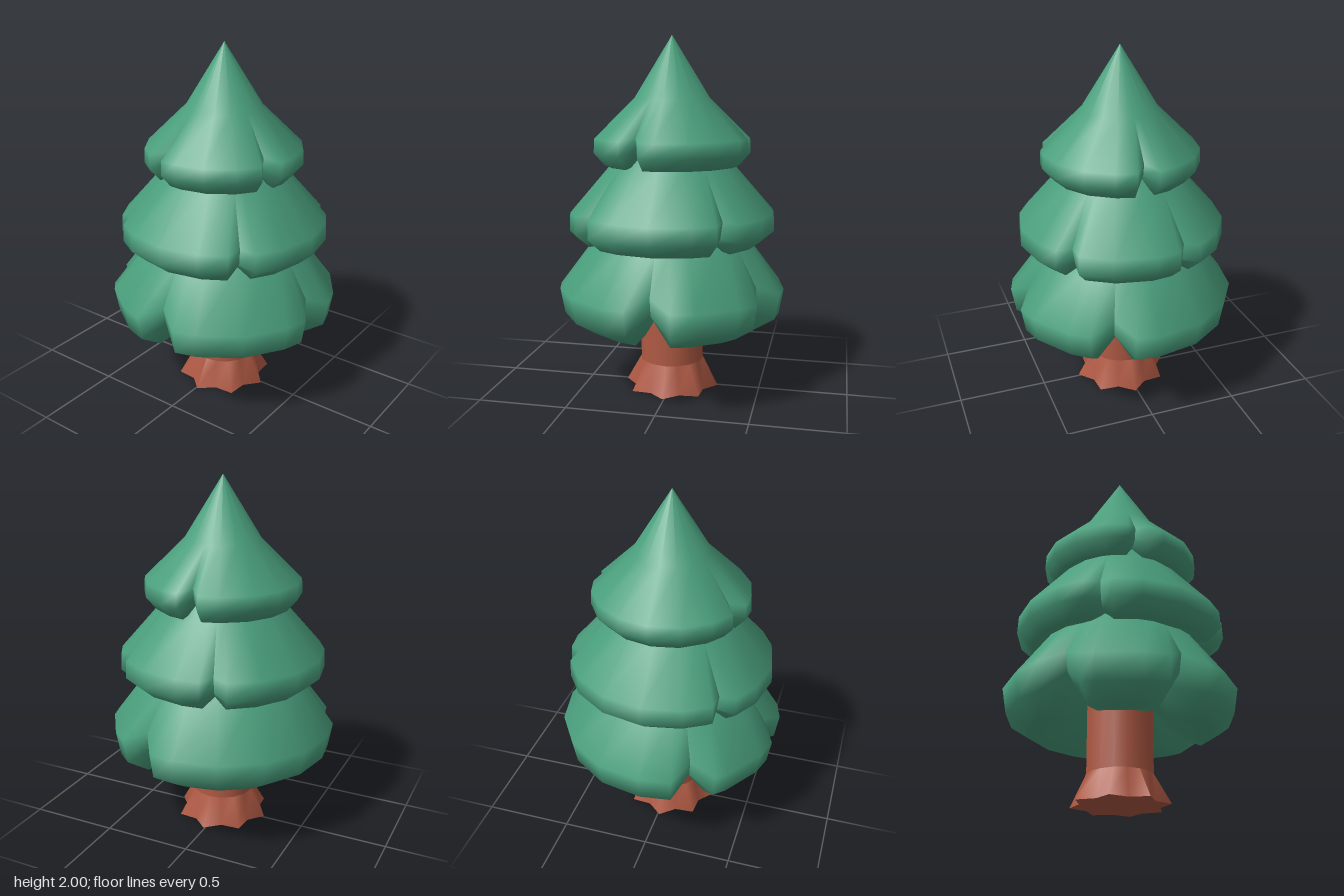
import * as THREE from 'three';

const green = new THREE.MeshStandardMaterial({ color: 0x4a9f7d });
green.name = 'needle green';
const brown = new THREE.MeshStandardMaterial({ color: 0xb05a44 });
brown.name = 'bark red-brown';

const RAD = Math.PI / 180;
const CENTRE = 0.01; // the tree stands slightly off the axis in x and z

// Skin made of vertical columns [angle in degrees, profile of [radius, y] from top to bottom]
function skin(columns) {
  const rows = columns[0][1].length;
  const pos = [], idx = [];
  for (const [deg, profile] of columns) {
    for (const [r, y] of profile) pos.push(r * Math.sin(deg * RAD), y, r * Math.cos(deg * RAD));
  }
  for (let i = 0; i < columns.length - 1; i++) {
    for (let j = 0; j < rows - 1; j++) {
      const a = i * rows + j, b = a + rows;
      idx.push(a, a + 1, b, b, a + 1, b + 1);
    }
  }
  const g = new THREE.BufferGeometry();
  g.setAttribute('position', new THREE.Float32BufferAttribute(pos, 3));
  g.setIndex(idx);
  g.computeVertexNormals();
  return g;
}

// One bough: full profile in the middle, pinched to the seam profile at both sides
function bough(start, end, bevel, full, seam) {
  const columns = [[start, seam], [start + bevel, full]];
  for (let a = Math.ceil((start + bevel + 4) / 22.5) * 22.5; a < end - bevel - 4; a += 22.5) columns.push([a, full]);
  columns.push([end - bevel, full], [end, seam]);
  const g = skin(columns);
  // Upper rows share cone normals, so neighbouring boughs blend smoothly there
  columns.forEach(([deg], i) => {
    for (let j = 0; j < 2; j++) {
      g.attributes.normal.setXYZ(i * full.length + j, 0.79 * Math.sin(deg * RAD), 0.61, 0.79 * Math.cos(deg * RAD));
    }
  });
  return g;
}

const TIERS = [
  {
    name: 'topTier', seams: [-20, 70, 180], bevel: 8,
    full: [[0, 2], [0.21, 1.66], [0.435, 1.44], [0.44, 1.36], [0.38, 1.29], [0.28, 1.31], [0.15, 1.4]],
    seam: [[0, 2], [0.21, 1.66], [0.36, 1.46], [0.35, 1.4], [0.32, 1.38], [0.27, 1.38], [0.15, 1.4]],
  },
  {
    name: 'middleTier', seams: [-45, 45, 132, 200], bevel: 7,
    full: [[0.22, 1.45], [0.34, 1.3], [0.575, 1.03], [0.58, 0.93], [0.5, 0.86], [0.36, 0.87], [0.15, 0.96]],
    seam: [[0.22, 1.45], [0.34, 1.3], [0.52, 1.04], [0.5, 0.95], [0.45, 0.91], [0.36, 0.92], [0.15, 0.96]],
  },
  {
    name: 'bottomTier', seams: [-63, 0, 90, 157], bevel: 11,
    full: [[0.28, 1.06], [0.43, 0.88], [0.64, 0.6], [0.615, 0.46], [0.49, 0.38], [0.36, 0.4], [0.15, 0.58]],
    seam: [[0.28, 1.06], [0.42, 0.88], [0.55, 0.66], [0.53, 0.56], [0.46, 0.51], [0.36, 0.52], [0.15, 0.58]],
  },
];

export function createModel() {
  const tree = new THREE.Group();
  tree.name = 'pineTree';

  // Three foliage tiers, each a ring of boughs
  for (const { name, seams, bevel, full, seam } of TIERS) {
    const tier = new THREE.Group();
    tier.name = name;
    seams.forEach((start, i) => {
      const end = i + 1 < seams.length ? seams[i + 1] : seams[0] + 360;
      const mesh = new THREE.Mesh(bough(start, end, bevel, full, seam), green);
      mesh.name = 'bough';
      tier.add(mesh);
    });
    tree.add(tier);
  }

  // Trunk
  const trunk = new THREE.Mesh(new THREE.CylinderGeometry(0.18, 0.18, 0.54, 16, 1, true), brown);
  trunk.name = 'trunk';
  trunk.position.y = 0.43;
  tree.add(trunk);

  // Flared roots: alternating ridges and valleys, closed underneath
  const columns = [];
  for (let i = 0; i <= 16; i++) {
    columns.push([i * 22.5, i % 2 ? [[0.18, 0.16], [0.215, 0]] : [[0.18, 0.16], [0.27, 0]]]);
  }
  const roots = new THREE.Mesh(skin(columns), brown);
  roots.name = 'roots';
  const base = new THREE.Mesh(skin(columns.map(([deg, p]) => [deg, [p[1], [0, 0]]])), brown);
  base.name = 'rootBase';
  tree.add(roots, base);

  for (const part of tree.children) {
    part.position.x = CENTRE;
    part.position.z = CENTRE;
  }
  return tree;
}
